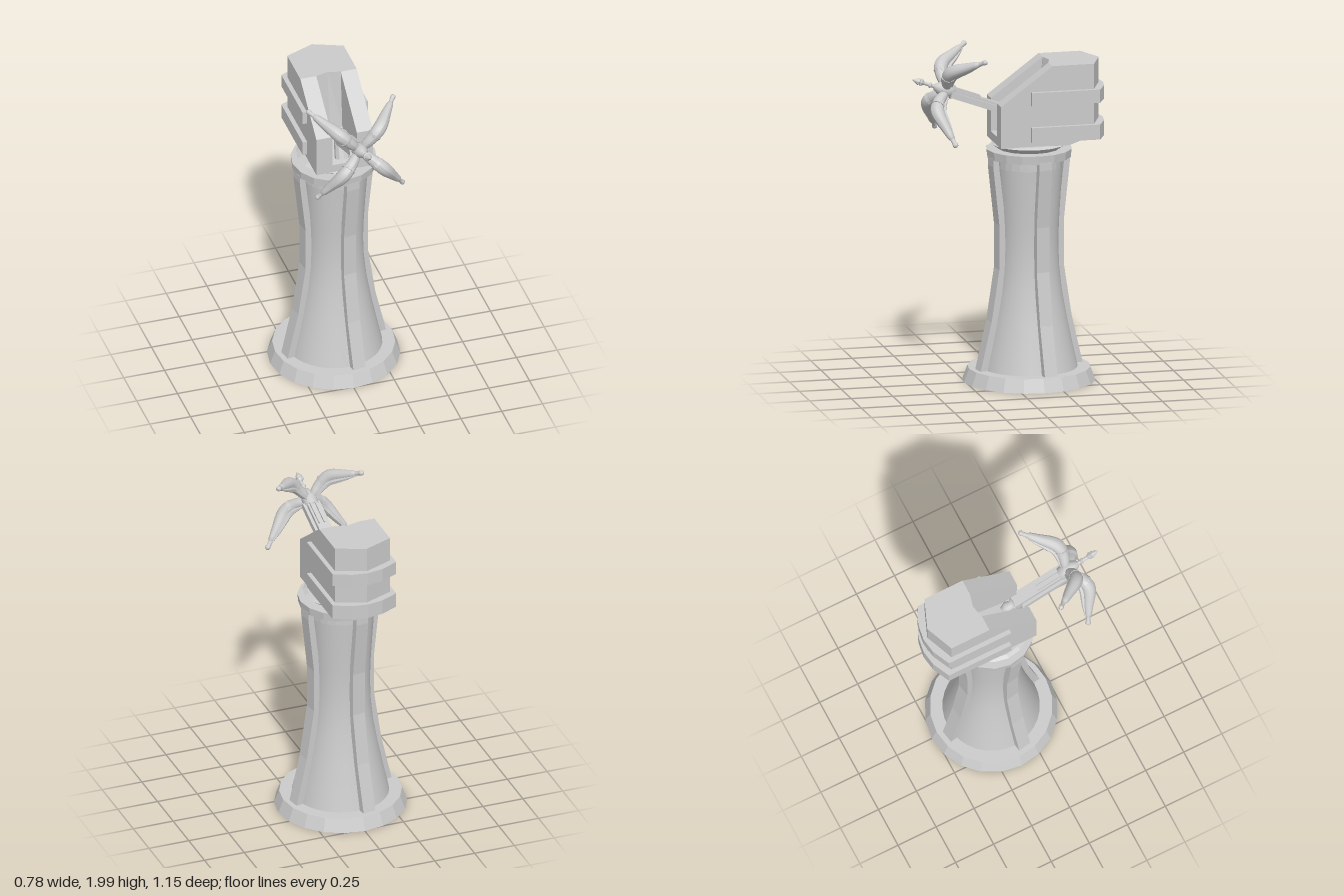
import * as THREE from 'three';

const flat = new THREE.MeshStandardMaterial({ color: 0xcccccc, flatShading: true, side: THREE.DoubleSide });
const smooth = new THREE.MeshStandardMaterial({ color: 0xcccccc, side: THREE.DoubleSide });
const V2 = (p) => new THREE.Vector2(p[0], p[1]);

function add(parent, name, geometry, material = flat) {
  const mesh = new THREE.Mesh(geometry, material);
  mesh.name = name;
  parent.add(mesh);
  return mesh;
}

const extrude = (points, depth) =>
  new THREE.ExtrudeGeometry(new THREE.Shape(points.map(V2)), { depth, bevelEnabled: false });

// Tube whose radius follows a list of values along the path
function taperedTube(points, radii, sides = 12, steps = 28) {
  const curve = new THREE.CatmullRomCurve3(points.map((p) => new THREE.Vector3(...p)));
  const geometry = new THREE.TubeGeometry(curve, steps, 1, sides);
  const pos = geometry.attributes.position;
  const v = new THREE.Vector3();
  for (let i = 0; i < pos.count; i++) {
    const t = Math.floor(i / (sides + 1)) / steps;
    const k = t * (radii.length - 1);
    const a = Math.min(Math.floor(k), radii.length - 2);
    const r = THREE.MathUtils.lerp(radii[a], radii[a + 1], k - a);
    const c = curve.getPointAt(t);
    v.fromBufferAttribute(pos, i).sub(c).multiplyScalar(r).add(c);
    pos.setXYZ(i, v.x, v.y, v.z);
  }
  geometry.computeVertexNormals();
  return geometry;
}

// Round part along +z from [radius, z] pairs
const axial = (points, sides = 14) => new THREE.LatheGeometry(points.map(V2), sides).rotateX(Math.PI / 2);

// Housing: side profiles joined across x, with a trough in the middle
function housingGeometry() {
  const profile = (x, trough) => {
    const back = -0.55 + 0.07 * Math.abs(x) / 0.173;
    const notch = trough ? -0.25 + 0.02 * Math.abs(x) / 0.075 : -0.23;
    return [
      [0.08, 1.43], [0.08, trough ? 1.48 : 1.68], trough ? [-0.2, 1.54] : [-0.075, 1.795],
      [notch, 1.91], [back, 1.91], [back, 1.46], [-0.42, 1.46], [-0.33, 1.43],
    ].map(([z, y]) => [x, y, z]);
  };
  const rings = [
    profile(-0.173, false), profile(-0.075, false), profile(-0.075, true), profile(0, true),
    profile(0.075, true), profile(0.075, false), profile(0.173, false),
  ];
  const n = rings[0].length;
  const last = (rings.length - 1) * n;
  const index = [];
  for (let i = 0; i < rings.length - 1; i++) {
    for (let j = 0; j < n; j++) {
      const a = i * n + j, b = i * n + (j + 1) % n;
      index.push(a, a + n, b, b, a + n, b + n);
    }
  }
  for (let k = 1; k < n - 1; k++) {
    const b = (3 + k) % n, c = (4 + k) % n;
    index.push(3, b, c, last + 3, last + c, last + b);
  }
  const geometry = new THREE.BufferGeometry();
  geometry.setAttribute('position', new THREE.Float32BufferAttribute(rings.flat(2), 3));
  geometry.setIndex(index);
  const result = geometry.toNonIndexed();
  result.computeVertexNormals();
  return result;
}

function createTower() {
  const tower = new THREE.Group();
  tower.name = 'tower';
  tower.position.z = -0.13;

  add(tower, 'base', new THREE.CylinderGeometry(0.36, 0.39, 0.08, 20)).position.y = 0.04;

  // Waisted column
  const column = [[0.285, 0.08], [0.258, 0.2], [0.222, 0.37], [0.192, 0.54], [0.177, 0.68],
    [0.172, 0.82], [0.176, 0.95], [0.186, 1.12], [0.198, 1.285]];
  add(tower, 'column', new THREE.LatheGeometry(column.map(V2), 32), smooth);
  add(tower, 'columnCollar', new THREE.CylinderGeometry(0.19, 0.19, 0.07, 24)).position.y = 1.315;

  // Four ribs following the column
  const rib = [[0.325, 0.08], [0.255, 0.37], [0.206, 0.68], [0.206, 0.95], [0.245, 1.3], [0.245, 1.35],
    [0.21, 1.35], [0.205, 1.28], [0.165, 0.95], [0.165, 0.68], [0.21, 0.37], [0.26, 0.08]];
  const ribGeometry = extrude(rib, 0.08).translate(0, 0, -0.04);
  for (let i = 0; i < 4; i++) {
    add(tower, 'rib', ribGeometry).rotation.y = THREE.MathUtils.degToRad(10 + 90 * i);
  }

  // Top ring and swivel dish
  add(tower, 'topRing', new THREE.CylinderGeometry(0.253, 0.248, 0.05, 16)).position.y = 1.365;
  const dish = [[0, 1.385], [0.175, 1.385], [0.222, 1.42], [0.2, 1.432], [0, 1.432]];
  add(tower, 'swivel', new THREE.LatheGeometry(dish.map(V2), 16));
  return tower;
}

function createHousing() {
  const housing = new THREE.Group();
  housing.name = 'housing';
  add(housing, 'housingBody', housingGeometry());

  // Raised bands wrapping the sides and back
  const half = [[0.15, 0.45], [0.15, 0.1], [0.2, 0.1], [0.2, 0.51], [0.095, 0.56]];
  const band = [...half, [0, 0.575], ...half.map(([x, z]) => [-x, z]).reverse()];
  for (const [y, height] of [[1.46, 0.09], [1.68, 0.08]]) {
    add(housing, 'band', extrude(band, height).rotateX(-Math.PI / 2)).position.y = y;
  }
  return housing;
}

function createLauncher() {
  const launcher = new THREE.Group();
  launcher.name = 'launcher';
  launcher.position.set(0, 1.765, 0.38);
  launcher.rotation.x = THREE.MathUtils.degToRad(-20);

  // Stock with two side rails and a top groove
  add(launcher, 'stock', new THREE.BoxGeometry(0.064, 0.05, 0.44)).position.set(0, -0.005, -0.22);
  for (const side of [-1, 1]) {
    add(launcher, 'rail', new THREE.BoxGeometry(0.018, 0.036, 0.3)).position.set(side * 0.044, -0.012, -0.19);
    add(launcher, 'groove', new THREE.BoxGeometry(0.008, 0.014, 0.2)).position.set(side * 0.016, 0.024, -0.12);
  }
  add(launcher, 'rearKnob', axial([[0, -0.47], [0.02, -0.465], [0.038, -0.43], [0.03, -0.4], [0.042, -0.385], [0, -0.37]]), smooth);
  add(launcher, 'mountPost', new THREE.CylinderGeometry(0.035, 0.045, 0.14, 10)).position.set(0, -0.07, -0.42);

  // Hub, shaft and pointed tip
  add(launcher, 'hub', axial([[0, -0.07], [0.04, -0.06], [0.046, -0.01], [0.038, 0.03], [0.02, 0.06], [0, 0.075]]), smooth);
  add(launcher, 'shaft', axial([[0.011, 0], [0.011, 0.08], [0.018, 0.09], [0.01, 0.1], [0.01, 0.15]]));
  add(launcher, 'tip', axial([[0, 0.128], [0.012, 0.13], [0.024, 0.148], [0.016, 0.156], [0.022, 0.164], [0.012, 0.185], [0, 0.207]], 8));

  // Four swept limbs set in a cross
  const limbPath = [[0.015, 0.015, -0.01], [0.07, 0.07, 0.025], [0.12, 0.12, 0.03], [0.195, 0.195, -0.038], [0.25, 0.25, -0.092]];
  const limb = taperedTube(limbPath, [0.02, 0.03, 0.034, 0.038, 0.041, 0.039, 0.035, 0.03, 0.025, 0.02, 0]);
  const end = taperedTube([[0.225, 0.225, -0.068], [0.25, 0.25, -0.092], [0.27, 0.27, -0.11]],
    [0.013, 0.013, 0.013, 0.013, 0.013, 0.016, 0.015, 0], 10, 14);
  const spine = taperedTube([[0.03, 0.03, -0.03], [0.1, 0.1, -0.01], [0.175, 0.175, -0.055], [0.235, 0.235, -0.095]],
    [0.004, 0.014, 0.016, 0.012, 0.003], 6, 16);
  const outward = new THREE.Vector3(1, 1, 0.35).normalize();
  for (let i = 0; i < 4; i++) {
    const arm = new THREE.Group();
    arm.name = 'limb';
    arm.rotation.z = i * Math.PI / 2;
    add(arm, 'limbBody', limb, smooth);
    add(arm, 'limbEnd', end, smooth);
    add(arm, 'limbSpine', spine);
    const collar = add(arm, 'limbCollar', new THREE.CylinderGeometry(0.042, 0.036, 0.022, 12));
    collar.position.set(0.085, 0.085, 0.03);
    collar.quaternion.setFromUnitVectors(new THREE.Vector3(0, 1, 0), outward);
    launcher.add(arm);
  }
  return launcher;
}

export function createModel() {
  const model = new THREE.Group();
  model.name = 'turret';
  model.add(createTower(), createHousing(), createLauncher());
  return model;
}
